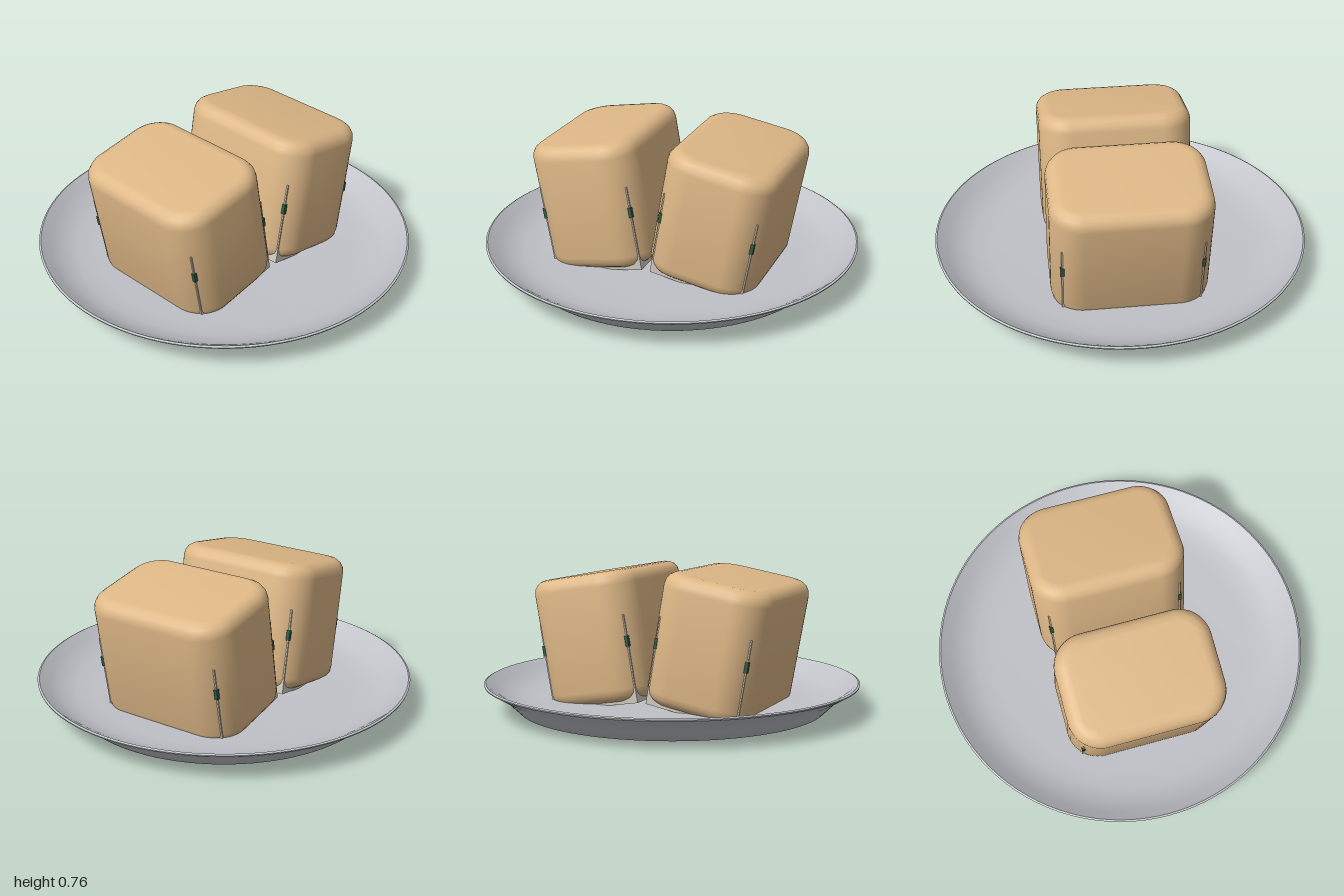
import * as THREE from 'three';
import { toCreasedNormals } from 'three/addons/utils/BufferGeometryUtils.js';

const material = (name, color, side = THREE.FrontSide) =>
  Object.assign(new THREE.MeshStandardMaterial({ color, side }), { name });

function addMesh(parent, name, geometry, mat) {
  const mesh = new THREE.Mesh(geometry, mat);
  mesh.name = name;
  parent.add(mesh);
  return mesh;
}

// Upright block with rounded corners, standing on y = 0
function roundedBlock(width, height, depth, corner, bevel) {
  const x = width / 2 - bevel, y = depth / 2 - bevel, r = corner - bevel;
  const shape = new THREE.Shape();
  shape.moveTo(x, -y + r);
  shape.absarc(x - r, y - r, r, 0, Math.PI / 2);
  shape.absarc(-x + r, y - r, r, Math.PI / 2, Math.PI);
  shape.absarc(-x + r, -y + r, r, Math.PI, Math.PI * 1.5);
  shape.absarc(x - r, -y + r, r, Math.PI * 1.5, Math.PI * 2);
  const geometry = new THREE.ExtrudeGeometry(shape, {
    depth: height - 2 * bevel, bevelThickness: bevel, bevelSize: bevel,
    bevelSegments: 4, curveSegments: 6,
  });
  geometry.rotateX(-Math.PI / 2).translate(0, bevel, 0);
  return toCreasedNormals(geometry, 0.6);
}

export function createModel() {
  const model = new THREE.Group();
  model.name = 'plateWithBlocks';
  const crust = material('golden tan', 0xdeb887);
  const filling = material('pale filling', 0xd0cbc0);
  const green = material('dark green', 0x2e5a46);
  const ceramic = material('light grey', 0xc0c2c8, THREE.DoubleSide);

  // Shallow round plate: underside, rim, then dished inside
  const profile = [
    [0, 0.01], [0.78, 0.01], [0.82, 0.012], [0.865, 0.055], [0.9, 0.09], [0.95, 0.12],
    [0.998, 0.148], [1, 0.155], [0.99, 0.16],
    [0.94, 0.125], [0.88, 0.09], [0.8, 0.068], [0.7, 0.06], [0, 0.057],
  ].map(([r, y]) => new THREE.Vector2(r, y));
  addMesh(model, 'plate', toCreasedNormals(new THREE.LatheGeometry(profile, 96), 0.75), ceramic);

  // Two blocks leaning away from each other
  const blockGeometry = roundedBlock(0.592, 0.678, 0.82, 0.17, 0.07);
  for (const side of [-1, 1]) {
    const block = new THREE.Group();
    block.name = side > 0 ? 'leftBlock' : 'rightBlock';
    addMesh(block, 'crust', blockGeometry, crust).position.y = 0.012;
    // Square core and band whose corners just break the rounded surface
    addMesh(block, 'core', new THREE.BoxGeometry(0.507, 0.46, 0.72), filling).position.y = 0.23;
    addMesh(block, 'band', new THREE.BoxGeometry(0.517, 0.055, 0.73), green).position.y = 0.322;
    block.position.set(side * 0.2725, 0.044, 0);
    block.rotation.z = -side * THREE.MathUtils.degToRad(10);
    model.add(block);
  }
  return model;
}
